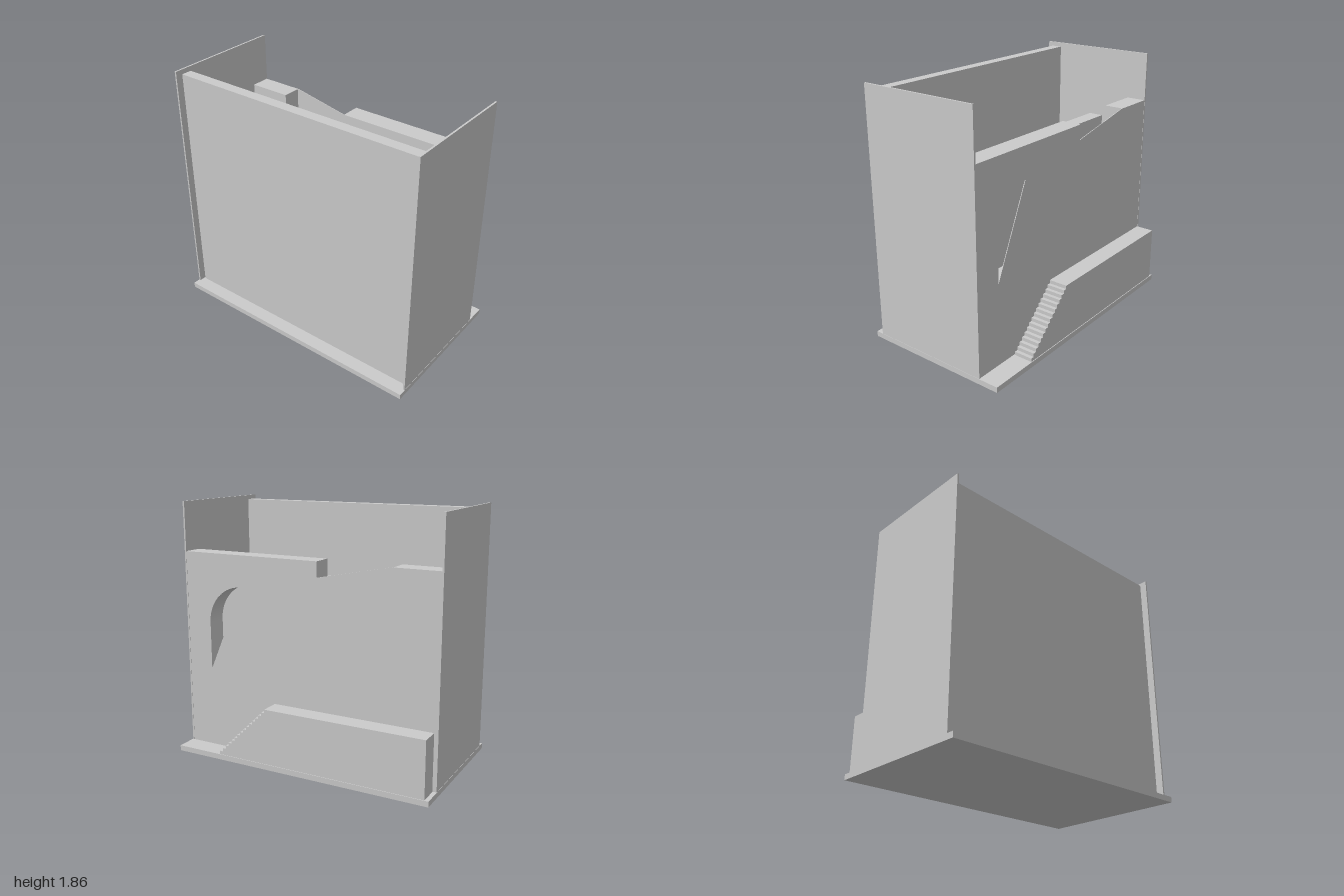
import * as THREE from 'three';

const grey = new THREE.MeshStandardMaterial({ color: 0xcccccc });

export function createModel() {
  const model = new THREE.Group();

  const add = (name, geometry) => {
    const mesh = new THREE.Mesh(geometry, grey);
    mesh.name = name;
    model.add(mesh);
  };

  // Box given by its limits on each axis
  const block = (name, x0, x1, y0, y1, z0, z1) => {
    const g = new THREE.BoxGeometry(x1 - x0, y1 - y0, z1 - z0);
    g.translate((x0 + x1) / 2, (y0 + y1) / 2, (z0 + z1) / 2);
    add(name, g);
  };

  // Side profile drawn in (z, y), extruded between x0 and x1
  const profile = (name, shape, x0, x1) => {
    const g = new THREE.ExtrudeGeometry(shape, { depth: x1 - x0, bevelEnabled: false, curveSegments: 24 });
    g.rotateY(-Math.PI / 2);
    g.translate(x1, 0, 0);
    add(name, g);
  };

  // Staircase climbing towards -z and ending in a level platform
  const stairs = (name, x0, x1, zStart, zTop, zEnd, yTop, count) => {
    const s = new THREE.Shape();
    const base = 0.04;
    s.moveTo(zEnd, base);
    s.lineTo(zStart, base);
    for (let i = 0; i < count; i++) {
      const y = base + ((yTop - base) * (i + 1)) / count;
      s.lineTo(zStart + ((zTop - zStart) * i) / (count - 1), y);
      if (i < count - 1) s.lineTo(zStart + ((zTop - zStart) * (i + 1)) / (count - 1), y);
    }
    s.lineTo(zEnd, yTop);
    s.closePath();
    profile(name, s, x0, x1);
  };

  // Base and the two end panels
  block('base', -0.56, 0.56, 0, 0.04, -1, 1);
  block('frontPanel', -0.505, 0.41, 0.04, 1.86, 0.985, 0.998);
  block('backPanel', -0.505, 0.41, 0.04, 1.86, -0.998, -0.985);

  // Plain long walls
  block('rightWall', -0.46, -0.38, 0.04, 1.83, -0.975, 0.97);
  block('middleWall', -0.085, 0.03, 0.04, 1.32, -0.985, 0.975);

  // Outer wall outline with a cut in its top edge
  const wallShape = (cut) => {
    const s = new THREE.Shape();
    s.moveTo(-0.985, 0.04);
    s.lineTo(0.985, 0.04);
    s.lineTo(0.985, 1.5);
    s.lineTo(-0.105, 1.5);
    s.lineTo(-0.105, 1.39);
    cut(s);
    s.lineTo(-0.985, 1.5);
    s.closePath();
    return s;
  };

  // Core of the wall: round-bottomed cut and arched window
  const core = wallShape((s) => {
    s.absarc(-0.383, 1.39, 0.278, 0, -Math.PI, true);
    s.lineTo(-0.661, 1.5);
  });
  const arch = new THREE.Path();
  arch.moveTo(0.79, 0.64);
  arch.lineTo(0.79, 0.99);
  arch.absarc(0.51, 0.99, 0.28, 0, Math.PI, false);
  arch.lineTo(0.23, 0.64);
  arch.closePath();
  core.holes.push(arch);
  profile('leftWall', core, 0.26, 0.403);

  // Thin outer face: sloped notch and half-arch opening
  const face = wallShape((s) => s.lineTo(-0.65, 1.5));
  const halfArch = new THREE.Path();
  halfArch.moveTo(0.79, 0.64);
  halfArch.lineTo(0.79, 0.99);
  halfArch.absarc(0.51, 0.99, 0.28, 0, Math.PI / 2, false);
  halfArch.closePath();
  face.holes.push(halfArch);
  profile('leftWallFace', face, 0.403, 0.408);

  // Outer walkway with steps, and the inner staircase
  stairs('outerStairs', 0.415, 0.555, 0.635, 0.24, -0.97, 0.45, 16);
  stairs('innerStairs', 0.03, 0.25, -0.105, -0.67, -0.89, 0.64, 16);

  return model;
}
